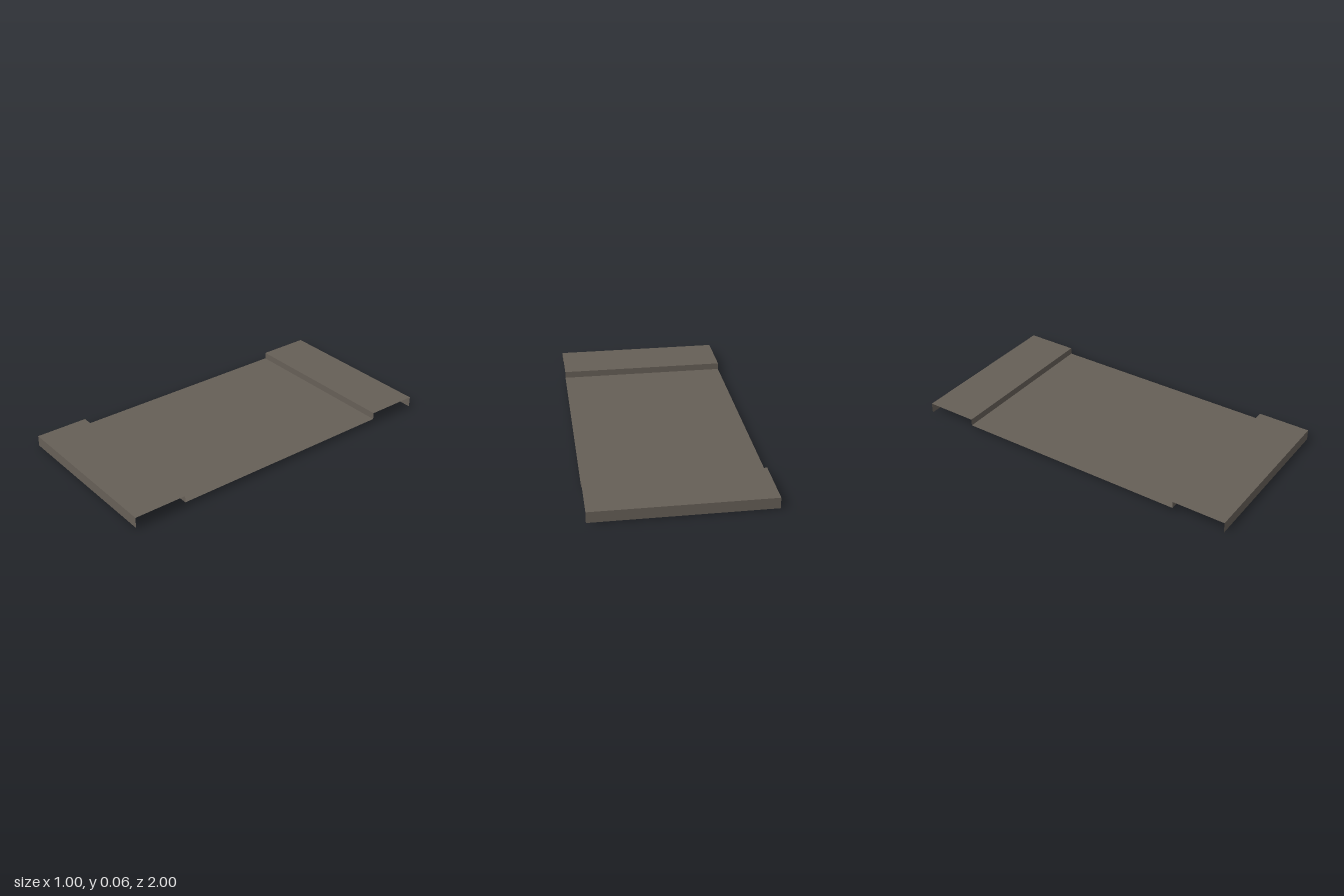
import * as THREE from 'three';

const WIDTH = 1;
const TOP = 0.063;   // height of the raised ends
const DECK = 0.023;  // height of the sunken middle
const STEP_Z = 0.69; // where the middle steps up

export function createModel() {
  const group = new THREE.Group();
  const sheetMetal = new THREE.MeshStandardMaterial({ color: 0x665f57, side: THREE.DoubleSide });
  sheetMetal.name = 'warm grey sheet';

  // Horizontal sheet facing up
  function flat(name, depth, y, z) {
    const mesh = new THREE.Mesh(new THREE.PlaneGeometry(WIDTH, depth).rotateX(-Math.PI / 2), sheetMetal);
    mesh.name = name;
    mesh.position.set(0, y, z);
    group.add(mesh);
  }

  // Vertical sheet facing along the given z direction
  function upright(name, y0, y1, z, facing) {
    const geometry = new THREE.PlaneGeometry(WIDTH, y1 - y0);
    if (facing < 0) geometry.rotateY(Math.PI);
    const mesh = new THREE.Mesh(geometry, sheetMetal);
    mesh.name = name;
    mesh.position.set(0, (y0 + y1) / 2, z);
    group.add(mesh);
  }

  // Sunken middle
  flat('deck', STEP_Z * 2, DECK, 0);

  // Raised end, step and folded lip at front and back
  for (const [end, s] of [['front', 1], ['back', -1]]) {
    flat(end + 'Shelf', 1 - STEP_Z, TOP, s * (1 + STEP_Z) / 2);
    upright(end + 'Step', DECK, TOP, s * STEP_Z, -s);
    upright(end + 'Lip', 0, TOP, s, s);
  }
  return group;
}
